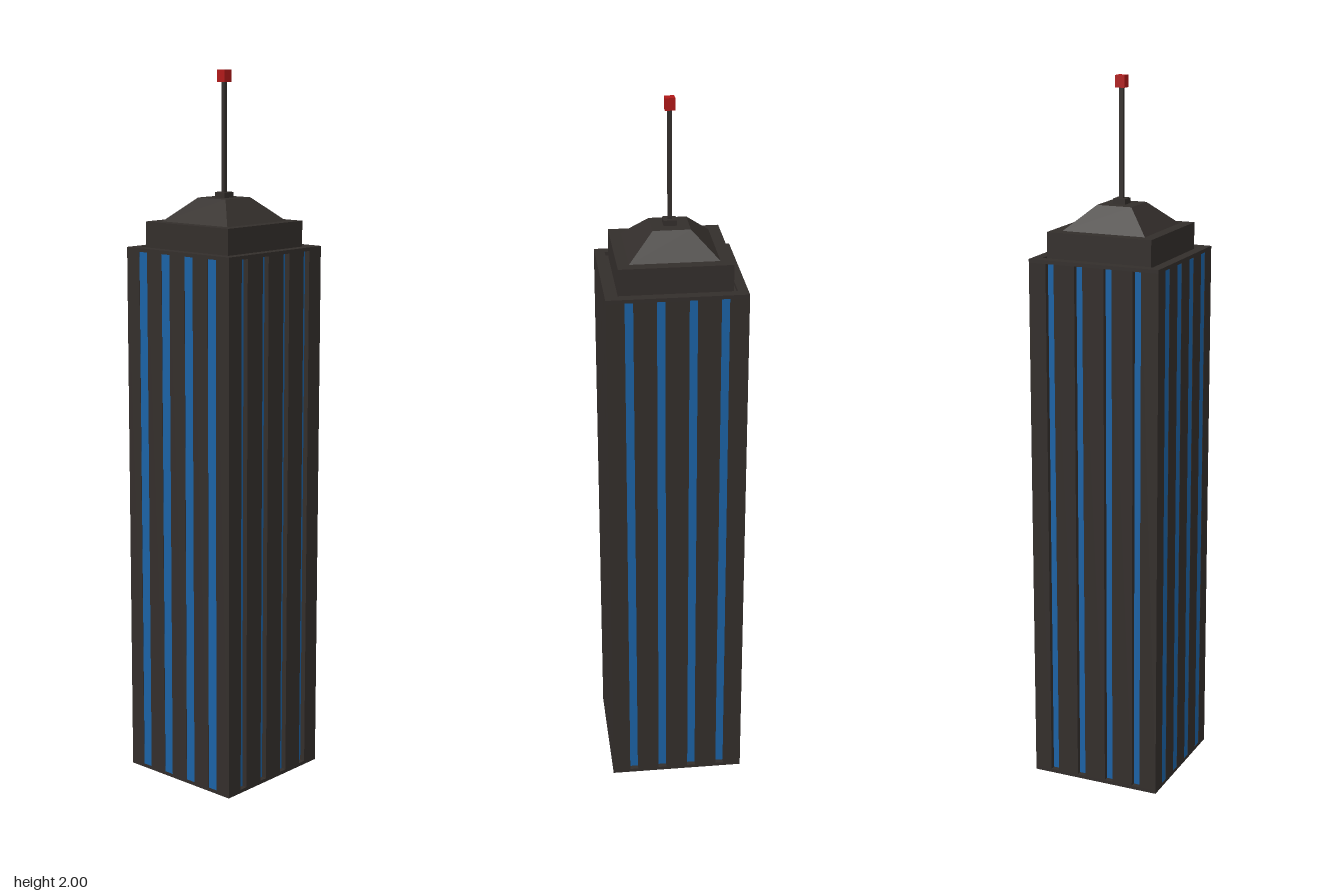
import * as THREE from 'three';

const HALF = 0.19, BOTTOM = 0.01, EAVES = 1.51;
const WINDOWS = [-0.128, -0.043, 0.043, 0.128];
// groove width and depth of each facade: front, +x, back, -x
const FACADES = [
  { w: 0.024, d: 0.017 }, { w: 0.024, d: 0.017 },
  { w: 0.024, d: 0.017 }, { w: 0.03, d: 0.003 },
];

const material = (color) => new THREE.MeshStandardMaterial({ color, flatShading: true });

export function createModel() {
  const model = new THREE.Group();
  const dark = material(0x332e2b);
  const blue = material(0x1b62a5);
  const red = material(0xb01818);

  const add = (name, geometry, mat, parent = model) => {
    const mesh = new THREE.Mesh(geometry, mat);
    mesh.name = name;
    parent.add(mesh);
    return mesh;
  };
  // box centred on the tower axis, between two heights
  const block = (name, half, y0, y1, mat = dark) =>
    add(name, new THREE.BoxGeometry(half * 2, y1 - y0, half * 2).translate(0, (y0 + y1) / 2, 0), mat);
  // plan shape raised between two heights
  const raise = (shape, y0, y1) =>
    new THREE.ExtrudeGeometry(shape, { depth: y1 - y0, bevelEnabled: false })
      .rotateX(-Math.PI / 2).translate(0, y0, 0);
  const square = (h) => [[-h, -h], [h, -h], [h, h], [-h, h]].map(([x, y]) => new THREE.Vector2(x, y));

  // shaft: square plan with vertical window grooves on all four sides
  const plan = [];
  const centre = new THREE.Vector2();
  FACADES.forEach(({ w, d }, k) => {
    const side = [[-HALF, 0]];
    for (const u of WINDOWS) {
      side.push([u - w / 2, 0], [u - w / 2, d], [u + w / 2, d], [u + w / 2, 0]);
    }
    for (const [u, inset] of side) {
      plan.push(new THREE.Vector2(u, inset - HALF).rotateAround(centre, k * Math.PI / 2));
    }
  });
  add('shaft', raise(new THREE.Shape(plan), BOTTOM, EAVES), dark);
  block('base', HALF, 0, BOTTOM);

  // rim around the roof, leaving a narrow gutter beside the crown
  const rim = new THREE.Shape(square(HALF));
  rim.holes.push(new THREE.Path(square(0.162)));
  add('roofRim', raise(rim, EAVES, 1.52), dark);

  // glass strips on the floor of each groove
  FACADES.forEach(({ w, d }, k) => {
    const facade = new THREE.Group();
    facade.name = 'windowStrips';
    facade.rotation.y = k * Math.PI / 2;
    for (const u of WINDOWS) {
      const glass = new THREE.BoxGeometry(w, EAVES - BOTTOM, 0.004);
      add('windowStrip', glass, blue, facade)
        .position.set(u, (EAVES + BOTTOM) / 2, HALF - d);
    }
    model.add(facade);
  });

  // crown and sloped roof
  block('crown', 0.153, EAVES, 1.59);
  const slope = new THREE.CylinderGeometry(0.051 * Math.SQRT2, 0.121 * Math.SQRT2, 0.065, 4)
    .rotateY(Math.PI / 4).translate(0, 1.6225, 0);
  add('slopedRoof', slope, dark);

  // antenna
  block('antennaFoot', 0.018, 1.65, 1.67);
  block('antennaMast', 0.0055, 1.67, 1.97);
  block('beacon', 0.0135, 1.967, 2, red);

  return model;
}
